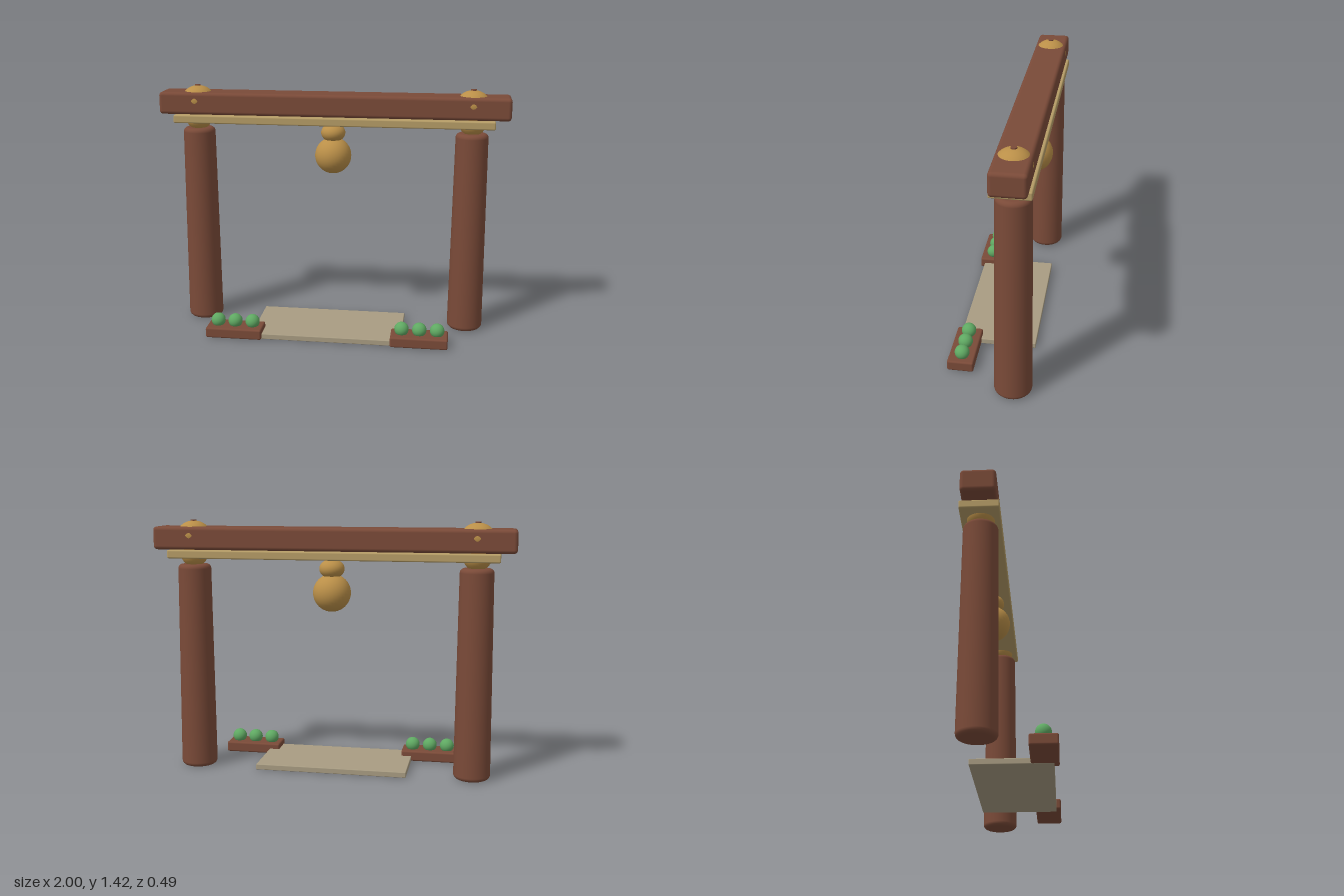
import * as THREE from 'three';
import { RoundedBoxGeometry } from 'three/addons/geometries/RoundedBoxGeometry.js';

const mat = (color) => new THREE.MeshStandardMaterial({ color });

export function createModel() {
  const model = new THREE.Group();
  const wood = mat(0x7a4a38);
  const gold = mat(0xba8f48);
  const plankWood = mat(0xb59c66);
  const stone = mat(0xa89c82);
  const green = mat(0x5fa862);
  const gateZ = -0.14;

  const add = (name, geometry, material, x, y, z) => {
    const mesh = new THREE.Mesh(geometry, material);
    mesh.name = name;
    mesh.position.set(x, y, z);
    model.add(mesh);
    return mesh;
  };
  const box = (name, w, h, d, r, material, x, y, z) =>
    add(name, new RoundedBoxGeometry(w, h, d, 3, r), material, x, y, z);
  const ball = (name, rx, ry, material, x, y, z) => {
    const mesh = add(name, new THREE.SphereGeometry(1, 32, 20), material, x, y, z);
    mesh.scale.set(rx, ry, rx);
    return mesh;
  };

  // Lintel: heavy beam over a thinner plank
  box('beam', 2, 0.127, 0.185, 0.02, wood, 0, 1.32, gateZ);
  box('plank', 1.83, 0.046, 0.21, 0.008, plankWood, 0, 1.232, gateZ);

  // Tapered pillar profile with rounded ends
  const bottomR = 0.102, topR = 0.092, height = 1.17, round = 0.025;
  const profile = [new THREE.Vector2(0, 0)];
  for (let i = 0; i <= 5; i++) {
    const a = (i / 5) * Math.PI / 2;
    profile.push(new THREE.Vector2(bottomR - round + round * Math.sin(a), round - round * Math.cos(a)));
  }
  for (let i = 0; i <= 5; i++) {
    const a = (i / 5) * Math.PI / 2;
    profile.push(new THREE.Vector2(topR - round + round * Math.cos(a), height - round + round * Math.sin(a)));
  }
  profile.push(new THREE.Vector2(0, height));
  const pillarGeometry = new THREE.LatheGeometry(profile, 40);

  for (const [side, s] of [['left', 1], ['right', -1]]) {
    const x = s * 0.79;
    add(side + 'Pillar', pillarGeometry, wood, x, 0.003, gateZ);

    // Gold capital under the plank, boss and stud on the beam
    ball(side + 'Capital', 0.078, 0.078, gold, x, 1.235, gateZ);
    ball(side + 'Boss', 0.0945, 0.08, gold, x, 1.335, gateZ);
    add(side + 'Stud', new THREE.CylinderGeometry(0.016, 0.016, 0.02, 12), wood, x, 1.41, gateZ);

    // Planter with three round shrubs
    box(side + 'Planter', 0.325, 0.06, 0.145, 0.01, wood, s * 0.533, 0.036, 0.168);
    for (let i = -1; i <= 1; i++) {
      ball(side + 'Shrub', 0.041, 0.041, green, s * 0.533 + i * 0.101, 0.092, 0.166);
    }
  }

  // Hanging bell: squashed collar above a globe
  ball('bellCollar', 0.07, 0.054, gold, 0, 1.157, gateZ);
  ball('bell', 0.105, 0.105, gold, 0, 1.024, gateZ);

  // Paving slab through the gate
  box('slab', 0.86, 0.032, 0.43, 0.004, stone, 0, 0.02, 0);

  return model;
}
